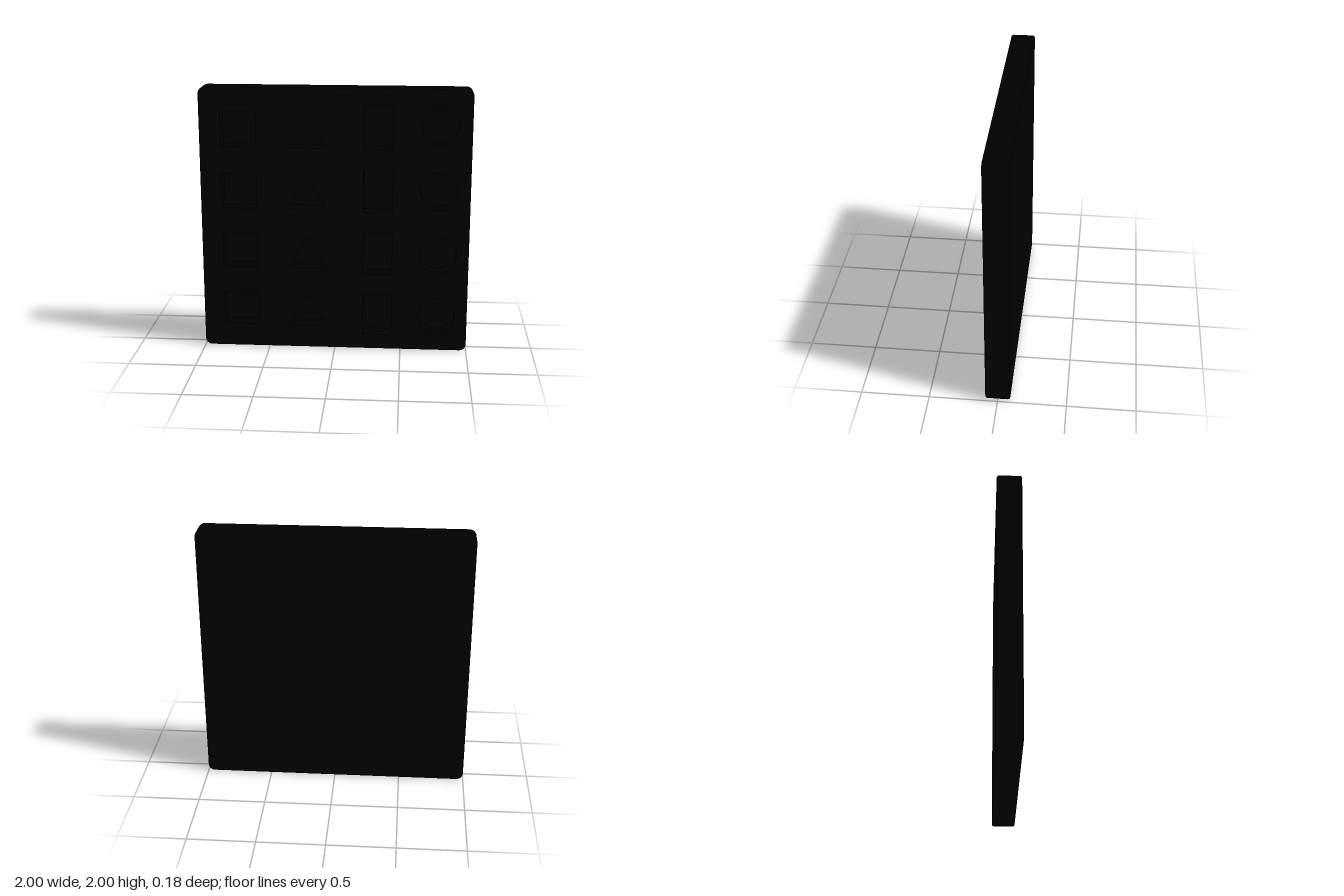
import * as THREE from 'three';
import { toCreasedNormals } from 'three/addons/utils/BufferGeometryUtils.js';

const HALF_Z = 0.09, DEPTH = 0.12, EDGE = 0.015, RADIUS = 0.05;

// Rounded square outline, pulled in by an inset, counter-clockwise
function outline(inset) {
  const pts = [], c = 1 - RADIUS, r = RADIUS - inset, steps = 6;
  for (let q = 0; q < 4; q++) {
    const a0 = q * Math.PI / 2;
    const cx = (q === 0 || q === 3) ? c : -c, cy = q < 2 ? c : -c;
    for (let i = 0; i <= steps; i++) {
      const a = a0 + (i / steps) * Math.PI / 2;
      pts.push(new THREE.Vector2(cx + r * Math.cos(a), 1 + cy + r * Math.sin(a)));
    }
  }
  return pts;
}

// Surface through closed outlines, each given as { pts, z }
function loft(rings) {
  const pos = [], index = [], n = rings[0].pts.length;
  rings.forEach(({ pts, z }) => pts.forEach(p => pos.push(p.x, p.y, z)));
  for (let k = 0; k < rings.length - 1; k++) {
    for (let i = 0; i < n; i++) {
      const a = k * n + i, b = k * n + (i + 1) % n;
      index.push(a, b, b + n, a, b + n, a + n);
    }
  }
  const g = new THREE.BufferGeometry();
  g.setAttribute('position', new THREE.Float32BufferAttribute(pos, 3));
  g.setIndex(index);
  return toCreasedNormals(g, 0.6);
}

const poly = (...xy) => xy.map(([x, y]) => new THREE.Vector2(x, y));
const rect = (cx, cy, w, h) => poly(
  [cx - w / 2, cy - h / 2], [cx + w / 2, cy - h / 2], [cx + w / 2, cy + h / 2], [cx - w / 2, cy + h / 2]);
const triangle = (cx, y, w, h) => poly([cx - w / 2, y], [cx + w / 2, y], [cx, y + h]);
const circle = (cx, cy, r) => Array.from({ length: 40 }, (_, i) => {
  const a = i / 40 * Math.PI * 2;
  return new THREE.Vector2(cx + r * Math.cos(a), cy + r * Math.sin(a));
});

export function createModel() {
  const group = new THREE.Group();
  const material = new THREE.MeshStandardMaterial({ color: 0x000000 });
  const add = (name, geometry, parent = group) => {
    const mesh = new THREE.Mesh(geometry, material);
    mesh.name = name;
    parent.add(mesh);
    return mesh;
  };

  // Four columns of pockets, four rows each
  const pockets = [];
  for (let row = 0; row < 4; row++) {
    const y = 0.18 + row * 0.46;
    pockets.push(['squarePocket', rect(-0.71, y + 0.13, 0.26, 0.26)]);
    pockets.push(['trianglePocket', triangle(-0.205, y, 0.29, 0.25)]);
    pockets.push(['rectanglePocket', rect(0.32, 0.28 + row * 0.48, 0.215, 0.32)]);
    pockets.push(['circlePocket', circle(0.77, 0.275 + row * 0.485, 0.14)]);
  }

  // Rounded rim of the board
  const rings = [];
  for (let i = 0; i <= 3; i++) {
    const a = i / 3 * Math.PI / 2;
    rings.push({ pts: outline(EDGE * (1 - Math.sin(a))), z: -HALF_Z + EDGE * (1 - Math.cos(a)) });
  }
  for (const { pts, z } of [...rings].reverse()) rings.push({ pts, z: -z });
  add('boardRim', loft(rings));

  // Flat faces, the front one cut out for the pockets
  const front = new THREE.Shape(outline(EDGE));
  front.holes = pockets.map(([, pts]) => new THREE.Path(pts));
  add('boardFront', new THREE.ShapeGeometry(front)).position.z = HALF_Z;
  const back = add('boardBack', new THREE.ShapeGeometry(new THREE.Shape(outline(EDGE))));
  back.rotation.y = Math.PI;
  back.position.z = -HALF_Z;

  // Pocket walls face inwards, floors face forwards
  for (const [name, pts] of pockets) {
    const pocket = new THREE.Group();
    pocket.name = name;
    group.add(pocket);
    add('pocketWall', loft([{ pts, z: HALF_Z }, { pts, z: HALF_Z - DEPTH }]), pocket);
    add('pocketFloor', new THREE.ShapeGeometry(new THREE.Shape(pts)), pocket).position.z = HALF_Z - DEPTH;
  }
  return group;
}
